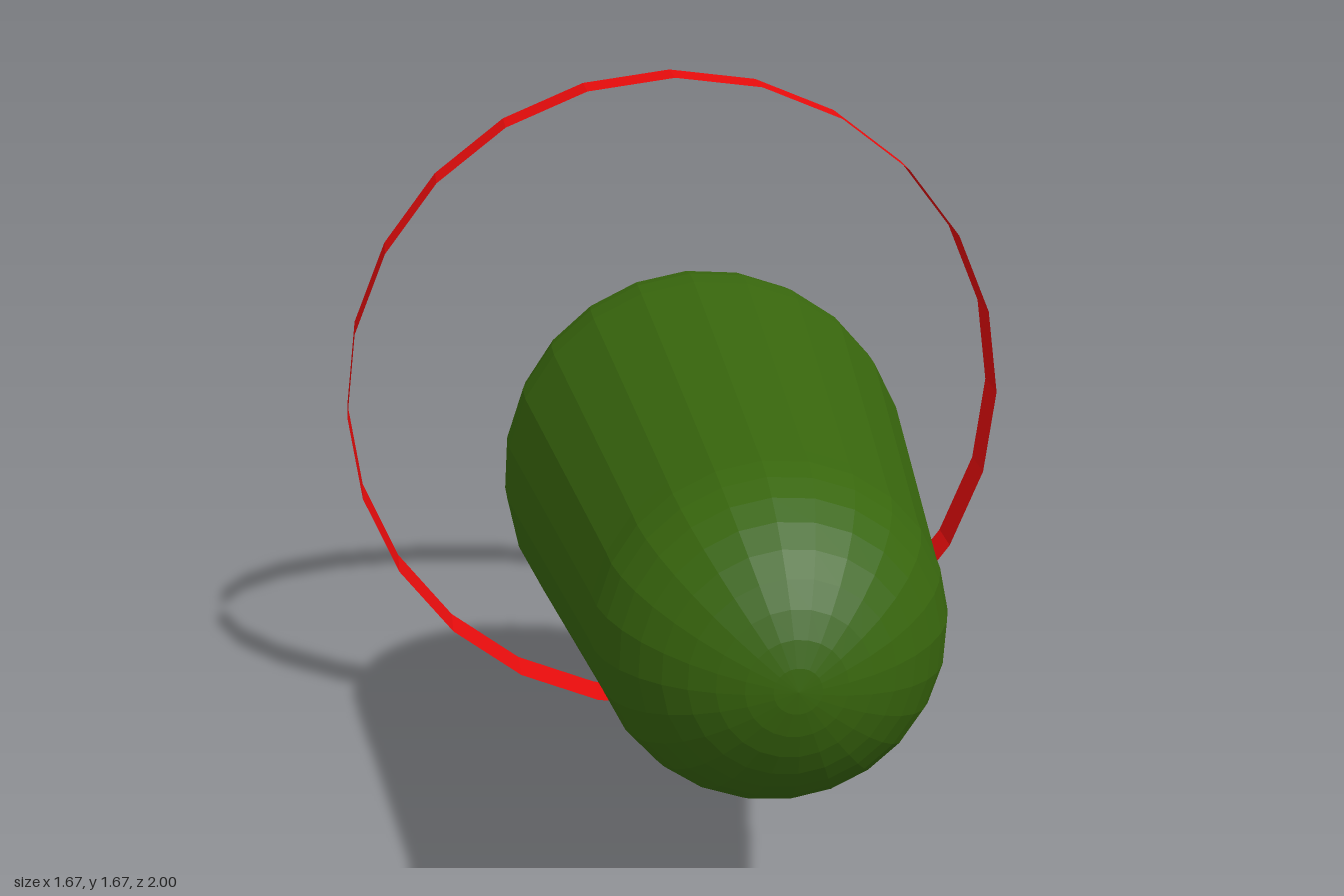
import * as THREE from 'three';

const SIDES = 24;
const CENTRE_Y = 0.835;

const paint = (color, extra = {}) =>
  new THREE.MeshStandardMaterial({ color, flatShading: true, ...extra });

// Adds a mesh whose local y axis is laid along z
function addAlongZ(group, name, geometry, material, z = 0) {
  geometry.rotateX(Math.PI / 2);
  const mesh = new THREE.Mesh(geometry, material);
  mesh.name = name;
  mesh.position.set(0, CENTRE_Y, z);
  group.add(mesh);
  return mesh;
}

export function createModel() {
  const group = new THREE.Group();

  // Body: round wide back, straight taper, slightly pointed front
  const profile = [];
  const steps = 10;
  for (let i = 0; i <= steps; i++) {
    const a = (i / steps) * THREE.MathUtils.degToRad(95);
    profile.push(new THREE.Vector2(0.472 * Math.sin(a), -0.328 - 0.472 * Math.cos(a)));
  }
  for (let i = 0; i <= steps; i++) {
    const a = (i / steps) * Math.PI / 2;
    profile.push(new THREE.Vector2(0.36 * Math.pow(Math.cos(a), 1.1), 0.625 + 0.375 * Math.sin(a)));
  }
  profile[0].x = 0;
  profile[profile.length - 1].x = 0;
  const body = addAlongZ(group, 'body', new THREE.LatheGeometry(profile, SIDES), paint(0x38660d));
  body.rotation.z = 0.065;

  // Short stem behind the body
  addAlongZ(group, 'stem', new THREE.CylinderGeometry(0.025, 0.025, 0.085, 8), paint(0x5a3010), -0.8125);

  // Thin open hoop around the stem end
  addAlongZ(group, 'hoop', new THREE.CylinderGeometry(0.835, 0.835, 0.125, SIDES, 1, true),
    paint(0xe80c0c, { side: THREE.DoubleSide }), -0.9375);

  return group;
}
